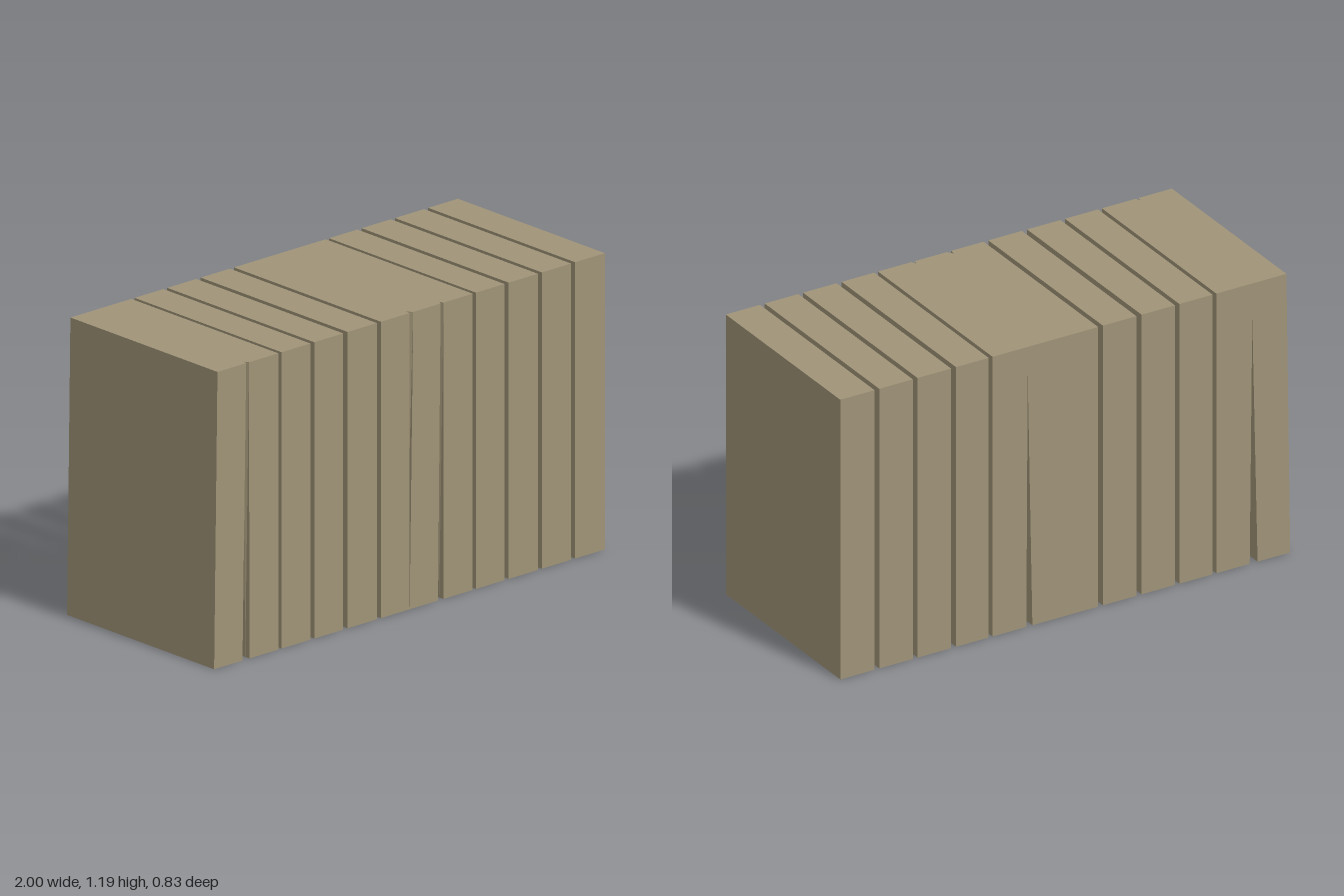
import * as THREE from 'three';

const HEIGHT = 1.19, BACK = -0.413, FRONT = 0.413, NICK = 0.39;

// One upright slab: x of its sides at the bottom and the top,
// plus how far the front edge is cut in on each side at the top (and bottom).
function slabGeometry({ bottom, top, nickL = [0, 0], nickR = [0, 0] }) {
  const box = new THREE.BoxGeometry(1, 1, 1, 1, 1, 2);
  const p = box.attributes.position;
  for (let i = 0; i < p.count; i++) {
    const right = p.getX(i) > 0 ? 1 : 0;
    const up = p.getY(i) > 0 ? 1 : 0;
    const z = p.getZ(i);
    let x = (up ? top : bottom)[right];
    if (z > 0.25) x += right ? -nickR[up] : nickL[up];
    p.setXYZ(i, x, up * HEIGHT, z < -0.25 ? BACK : z > 0.25 ? FRONT : NICK);
  }
  const geometry = box.toNonIndexed();
  geometry.computeVertexNormals();
  return geometry;
}

const straight = (l, r) => ({ bottom: [l, r], top: [l, r] });

export function createModel() {
  const group = new THREE.Group();
  group.name = 'slabRow';
  const stone = new THREE.MeshStandardMaterial({ color: 0xa09478 });
  stone.name = 'tan';

  const slabs = [
    // leaning end slab touching its neighbour near the top
    { bottom: [-1, -0.855], top: [-0.983, -0.828], nickR: [0, 0.008] },
    { bottom: [-0.82, -0.672], top: [-0.833, -0.672], nickL: [0, 0.012] },
    straight(-0.655, -0.508),
    straight(-0.488, -0.34),
    straight(-0.317, -0.168),
    // middle three lean together
    { bottom: [-0.147, 0], top: [-0.147, 0], nickR: [0, 0.002] },
    { bottom: [0, 0.145], top: [0, 0.168], nickL: [0, 0.018], nickR: [0, 0.01] },
    { bottom: [0.172, 0.322], top: [0.165, 0.322], nickL: [0, 0.008] },
    straight(0.339, 0.484),
    straight(0.506, 0.655),
    straight(0.676, 0.825),
    straight(0.846, 0.998),
  ];

  slabs.forEach((slab, i) => {
    const mesh = new THREE.Mesh(slabGeometry(slab), stone);
    mesh.name = `slab${i + 1}`;
    group.add(mesh);
  });
  return group;
}
